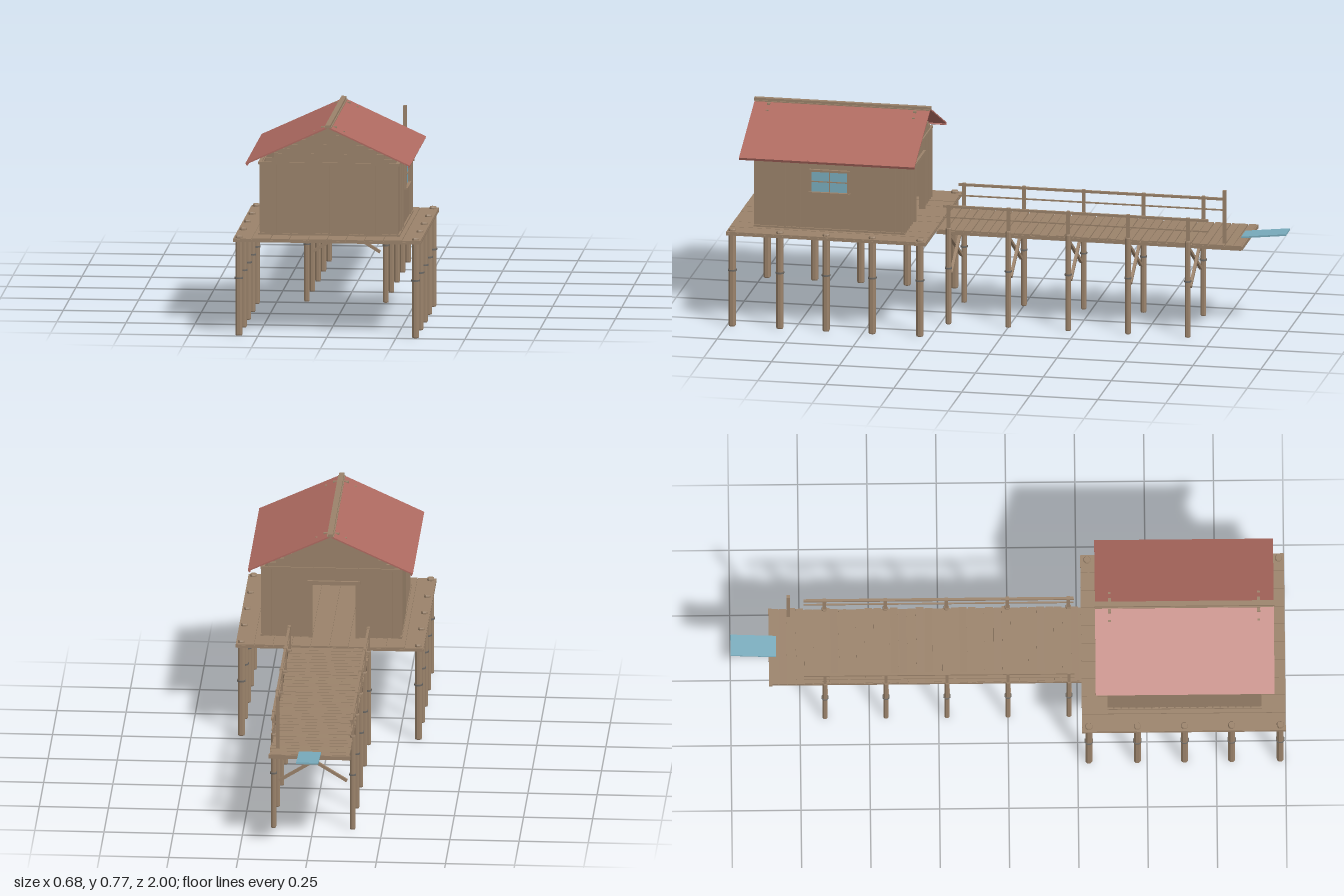
import * as THREE from 'three';

const mat = (name, color) => Object.assign(new THREE.MeshStandardMaterial({ color }), { name });

export function createModel() {
  const wood = mat('weathered wood', 0x9a826a);
  const red = mat('red roofing', 0xae6a60);
  const blue = mat('pale blue', 0x78abbc);
  const iron = mat('iron band', 0x6b6762);
  const root = new THREE.Group();
  root.name = 'stiltHouse';

  const group = (name) => {
    const g = new THREE.Group();
    g.name = name;
    root.add(g);
    return g;
  };
  const add = (parent, name, geo, m, x, y, z) => {
    const mesh = new THREE.Mesh(geo, m);
    mesh.name = name;
    mesh.position.set(x, y, z);
    parent.add(mesh);
    return mesh;
  };
  // box given by its minimum and maximum corners
  const block = (parent, name, m, x0, x1, y0, y1, z0, z1) =>
    add(parent, name, new THREE.BoxGeometry(x1 - x0, y1 - y0, z1 - z0), m,
      (x0 + x1) / 2, (y0 + y1) / 2, (z0 + z1) / 2);
  // square bar between two points
  const bar = (parent, name, a, b, w, m = wood) => {
    const p = new THREE.Vector3(...a), q = new THREE.Vector3(...b);
    const mesh = add(parent, name, new THREE.BoxGeometry(w, w, p.distanceTo(q)), m, 0, 0, 0);
    mesh.position.copy(p).lerp(q, 0.5);
    mesh.lookAt(q);
    return mesh;
  };
  let seed = 7;
  const rnd = () => (seed = (seed * 16807) % 2147483647) / 2147483647 - 0.5;

  // eight-sided pile with a bevelled top and an iron band
  const pile = (parent, x, z, r, top) => {
    const pts = [[0, 0], [r * 0.85, 0], [r, 0.004], [r, top - 0.004], [r * 0.85, top], [0, top]]
      .map(([a, b]) => new THREE.Vector2(a, b));
    const geo = new THREE.LatheGeometry(pts, 8, Math.PI / 8).toNonIndexed();
    geo.computeVertexNormals();
    add(parent, 'pile', geo, wood, x, 0, z);
    add(parent, 'pileBand', new THREE.CylinderGeometry(r + 0.003, r + 0.003, 0.006, 8, 1, false, Math.PI / 8),
      iron, x, 0.21, z);
  };

  // house platform
  const platform = group('platform');
  block(platform, 'platformBase', wood, -0.34, 0.34, 0.344, 0.352, 0.265, 1);
  for (let i = 0; i < 10; i++) {
    const x = -0.34 + i * 0.068;
    block(platform, 'platformPlank', wood, x + 0.001, x + 0.067, 0.352, 0.357 + rnd() * 0.002, 0.266, 0.999);
  }
  for (const s of [-1, 1])
    for (const z of [0.98, 0.805, 0.635, 0.465, 0.29]) pile(platform, s * 0.32, z, 0.0135, 0.366);

  // walkway deck with uneven planks
  const walkway = group('walkway');
  block(walkway, 'walkwayBase', wood, -0.143, 0.143, 0.335, 0.346, -0.855, 0.265);
  for (let i = 0; i < 36; i++) {
    const z = -0.842 + i * 0.031;
    const p = add(walkway, 'walkwayPlank', new THREE.BoxGeometry(0.286 + rnd() * 0.012, 0.007, 0.028), wood,
      rnd() * 0.005, 0.3495, z);
    p.rotation.set(rnd() * 0.03, rnd() * 0.025, rnd() * 0.01);
  }
  block(walkway, 'endBeam', wood, -0.148, 0.148, 0.339, 0.352, -0.862, -0.85);

  // walkway supports, cross braces and railings
  const bents = [0.22, 0, -0.22, -0.44, -0.66];
  for (const z of bents) {
    for (const s of [-1, 1]) {
      pile(walkway, s * 0.143, z, 0.0105, 0.362);
      block(walkway, 'railPost', wood, s * 0.143 - 0.006, s * 0.143 + 0.006, 0.35, 0.448, z - 0.006, z + 0.006);
      bar(walkway, 'crossBrace', [-0.122 * s, 0.183, z + s * 0.005], [0.122 * s, 0.334, z + s * 0.005], 0.0105);
    }
    block(walkway, 'crossBeam', wood, -0.133, 0.133, 0.332, 0.344, z - 0.007, z + 0.007);
  }
  for (const s of [-1, 1]) {
    bar(walkway, 'topRail', [s * 0.143, 0.441, 0.24], [s * 0.143, 0.441, -0.735], 0.009);
    bar(walkway, 'midRail', [s * 0.143, 0.4, 0.24], [s * 0.143, 0.4, -0.735], 0.005);
  }
  // mooring post and boarding ramp at the far end
  block(walkway, 'mooringPost', wood, 0.114, 0.126, 0.35, 0.552, -0.796, -0.784);
  const ramp = add(walkway, 'boardingRamp', new THREE.BoxGeometry(0.08, 0.006, 0.165), blue, 0, 0.364, -0.9178);
  ramp.rotation.x = 0.11;

  // house walls, the back one open at the doorway
  const house = group('house');
  const x1 = 0.25, z0 = 0.362, z1 = 0.91, y0 = 0.357, y1 = 0.62, t = 0.01;
  block(house, 'frontWall', wood, -x1, x1, y0, y1, z1 - t, z1);
  for (const s of [-1, 1]) {
    const x = s * (x1 - t / 2);
    block(house, 'sideWall', wood, x - t / 2, x + t / 2, y0, y1, z0, z1);
  }
  const d0 = -0.095, d1 = 0.075, dTop = 0.562;
  block(house, 'backWall', wood, -x1, d0, y0, y1, z0, z0 + t);
  block(house, 'backWall', wood, d1, x1, y0, y1, z0, z0 + t);
  block(house, 'doorHeader', wood, d0, d1, dTop, y1, z0, z0 + t);
  for (const x of [d0, d1]) block(house, 'doorJamb', wood, x - 0.007, x + 0.007, y0, dTop, z0 - 0.009, z0 + 0.012);
  block(house, 'doorLintel', wood, d0 - 0.01, d1 + 0.01, dTop, dTop + 0.012, z0 - 0.009, z0 + 0.012);

  // battens over the board joints
  const batten = (x, z) =>
    block(house, 'wallBatten', wood, x - 0.003, x + 0.003, y0, y1, z - 0.003, z + 0.003);
  for (let i = 0; i < 19; i++) {
    const x = -0.247 + i * 0.02744;
    batten(x, z1 + 0.001);
    if (x < d0 - 0.01 || x > d1 + 0.01) batten(x, z0 - 0.001);
  }
  for (let z = 0.38; z < 0.9; z += 0.0275) batten(-x1 - 0.001, z);
  for (const z of [0.825, 0.8, 0.775, 0.747, 0.72, 0.45, 0.422, 0.395, 0.37]) batten(x1 + 0.001, z);
  // sill and top plates
  for (const [a, b] of [[y0, 0.364], [0.615, 0.624]]) {
    for (const s of [-1, 1])
      block(house, 'sidePlate', wood, s * 0.25 - 0.006, s * 0.25 + 0.006, a, b, z0 - 0.004, z1 + 0.004);
    block(house, 'frontPlate', wood, -0.256, 0.256, a, b, z1 - 0.004, z1 + 0.005);
  }
  block(house, 'backPlate', wood, -0.256, 0.256, 0.615, 0.624, z0 - 0.005, z0 + 0.004);

  // stepped gable boards
  for (const z of [z0, z1 - t])
    for (let i = 0; i < 8; i++) {
      const w = 0.228 - i * 0.0285, y = 0.622 + i * 0.0168;
      block(house, 'gableBoard', wood, -w, w, y, y + 0.0168, z, z + t + (i % 2) * 0.001);
    }

  // side window
  const win = group('window');
  block(win, 'windowPane', blue, 0.25, 0.255, 0.502, 0.58, 0.567, 0.703);
  for (const z of [0.565, 0.705]) block(win, 'windowFrame', wood, 0.25, 0.261, 0.5, 0.584, z - 0.004, z + 0.004);
  block(win, 'windowFrame', wood, 0.25, 0.261, 0.577, 0.585, 0.561, 0.709);
  block(win, 'windowSill', wood, 0.25, 0.267, 0.496, 0.502, 0.559, 0.711);
  block(win, 'windowMuntin', wood, 0.25, 0.2575, 0.502, 0.578, 0.633, 0.637);
  block(win, 'windowMuntin', wood, 0.25, 0.2575, 0.538, 0.542, 0.567, 0.703);

  // roof slopes, eave boards and ridge beam
  const roof = group('roof');
  const slope = Math.atan2(0.135, 0.293), len = Math.hypot(0.135, 0.293);
  for (const s of [-1, 1]) {
    const panel = add(roof, 'roofSlope', new THREE.BoxGeometry(len, 0.005, 0.645), red, s * 0.1465, 0.6925, 0.6375);
    panel.rotation.z = -s * slope;
    const eave = add(roof, 'eaveBoard', new THREE.BoxGeometry(0.006, 0.01, 0.645), red, s * 0.2935, 0.622, 0.6375);
    eave.rotation.z = -s * slope;
  }
  block(roof, 'ridgeBeam', wood, -0.009, 0.009, 0.758, 0.769, 0.313, 0.962);
  block(roof, 'ridgeSupport', wood, -0.013, 0.013, 0.752, 0.76, 0.316, 0.959);

  return root;
}
